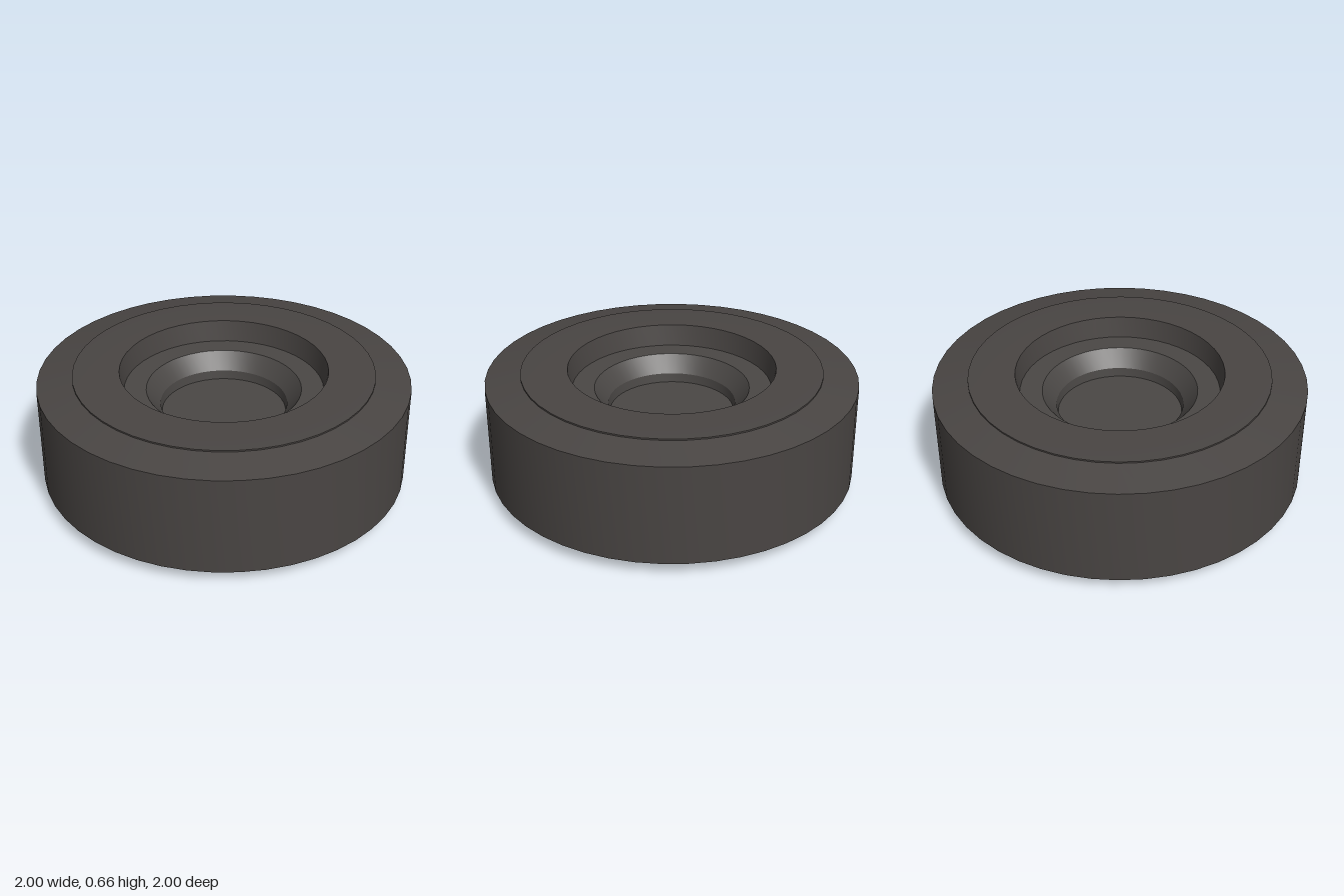
import * as THREE from 'three';
import { toCreasedNormals } from 'three/addons/utils/BufferGeometryUtils.js';

const SEGMENTS = 48;

// Revolves a profile of [radius, height] pairs, keeping sharp edges sharp.
// Profiles run out along the underside, up the outside and back in on top.
function revolve(name, profile, material) {
  const points = profile.map(([r, y]) => new THREE.Vector2(r, y));
  const geometry = toCreasedNormals(new THREE.LatheGeometry(points, SEGMENTS), 0.45);
  const mesh = new THREE.Mesh(geometry, material);
  mesh.name = name;
  return mesh;
}

export function createModel() {
  const rubber = new THREE.MeshStandardMaterial({ color: 0x494543 });
  rubber.name = 'dark rubber';
  const metal = new THREE.MeshStandardMaterial({ color: 0x4a4745 });
  metal.name = 'dark metal';

  const wheel = new THREE.Group();
  wheel.name = 'wheel';

  // Tyre: rounded lower sidewall, flat tread, sloped shoulder and raised upper sidewall
  wheel.add(revolve('tyre', [
    [0.553, 0.05], [0.553, 0.005], [0.6, 0], [0.72, 0.004], [0.82, 0.012], [0.845, 0.023],
    [0.93, 0.047], [1, 0.072],
    [1, 0.613], [0.81, 0.648], [0.81, 0.656], [0.72, 0.66],
    [0.56, 0.66], [0.54, 0.54],
  ], rubber));

  // Underside of the rim: inset lip, ring and conical well
  wheel.add(revolve('rimUnderside', [
    [0, 0.27], [0.333, 0.27], [0.345, 0.245], [0.428, 0.137],
    [0.51, 0.117], [0.51, 0.05], [0.553, 0.05],
  ], metal));

  // Top of the rim: flat ring, conical well, short wall and floor
  wheel.add(revolve('rimTop', [
    [0.54, 0.54], [0.42, 0.54], [0.345, 0.45], [0.338, 0.4], [0, 0.4],
  ], metal));

  // Eight hexagonal wheel nuts with stud ends under the hub
  const nutGeometry = new THREE.CylinderGeometry(0.04, 0.04, 0.036, 6).toNonIndexed();
  nutGeometry.computeVertexNormals();
  const studGeometry = new THREE.CylinderGeometry(0.02, 0.02, 0.02, 12);
  for (let i = 0; i < 8; i++) {
    const angle = THREE.MathUtils.degToRad(25 + i * 45);
    const nut = new THREE.Group();
    nut.name = 'wheelNut' + (i + 1);
    const hex = new THREE.Mesh(nutGeometry, metal);
    hex.name = 'nutBody';
    const stud = new THREE.Mesh(studGeometry, metal);
    stud.name = 'studEnd';
    stud.position.y = -0.024;
    nut.add(hex, stud);
    nut.position.set(0.25 * Math.sin(angle), 0.253, 0.25 * Math.cos(angle));
    nut.rotation.y = angle;
    wheel.add(nut);
  }

  return wheel;
}
